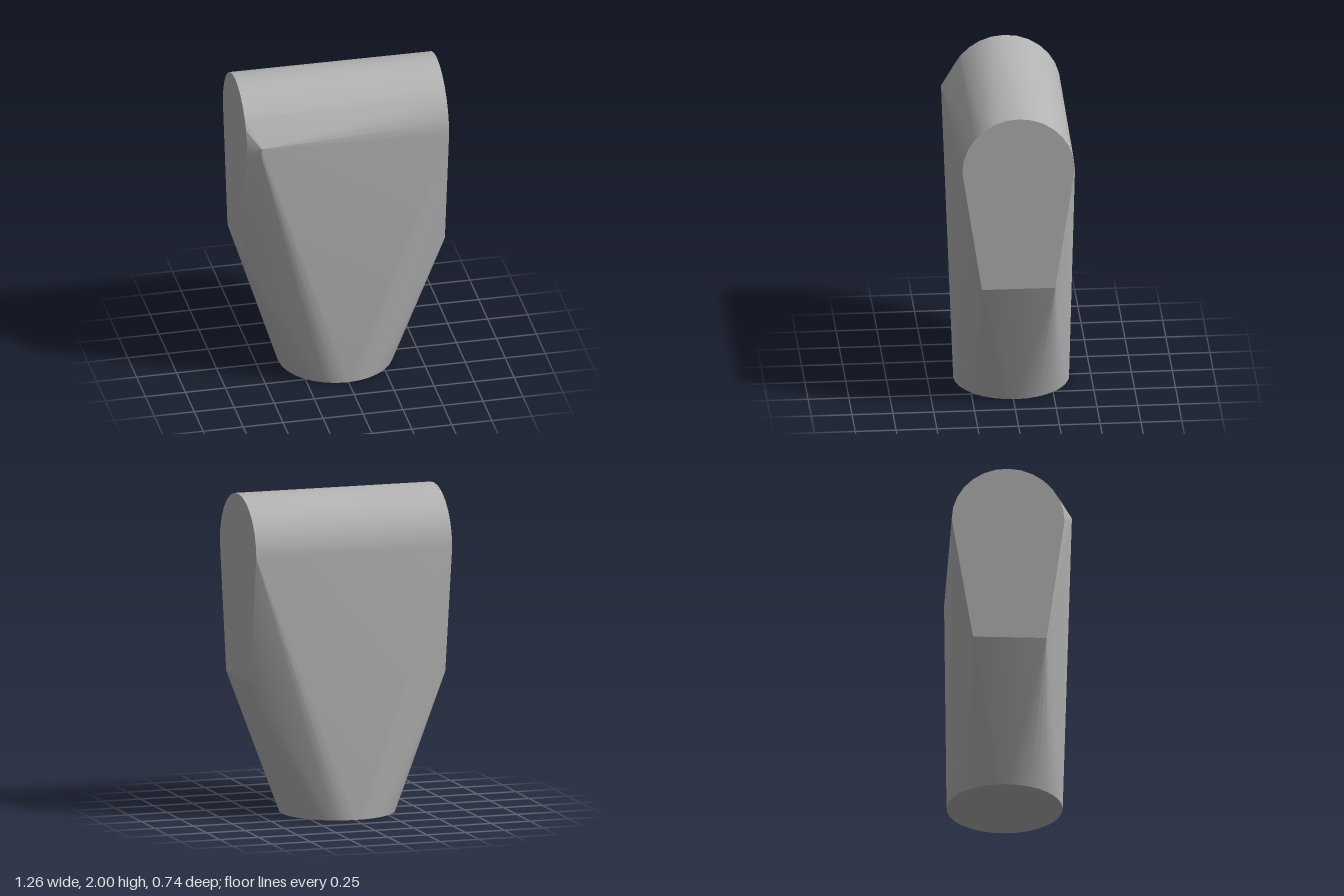
import * as THREE from 'three';
import { ConvexGeometry } from 'three/addons/geometries/ConvexGeometry.js';
import { toCreasedNormals } from 'three/addons/utils/BufferGeometryUtils.js';

// Arched end plate: half-round top tapering to a narrow flat bottom edge
function archEnd(x, zBack, zFront) {
  const points = [];
  const centre = (zBack + zFront) / 2, radius = (zFront - zBack) / 2;
  const steps = 14;
  for (let i = 0; i <= steps; i++) {
    const a = (i / steps) * Math.PI;
    points.push(new THREE.Vector3(x, 1.655 + 0.345 * Math.sin(a), centre + radius * Math.cos(a)));
  }
  points.push(new THREE.Vector3(x, 0.865, 0.215), new THREE.Vector3(x, 0.865, -0.235));
  return points;
}

// Round foot outline on the ground
function footCircle(radius, segments) {
  const points = [];
  for (let i = 0; i < segments; i++) {
    const a = (i / segments) * Math.PI * 2;
    points.push(new THREE.Vector3(-0.007 + radius * Math.cos(a), 0, -0.014 + radius * Math.sin(a)));
  }
  return points;
}

export function createModel() {
  const group = new THREE.Group();
  group.name = 'taperedBlock';

  const grey = new THREE.MeshStandardMaterial({ color: 0xb4b4b4 });
  grey.name = 'grey';

  // Solid skin stretched between the two arched ends and the round foot
  const points = [
    ...archEnd(0.63, -0.355, 0.335),
    ...archEnd(-0.63, -0.365, 0.325),
    ...footCircle(0.355, 32),
    // slightly swollen front corner on the right
    new THREE.Vector3(-0.55, 1.71, 0.373),
    new THREE.Vector3(-0.55, 1.65, 0.371),
  ];
  const body = new THREE.Mesh(toCreasedNormals(new ConvexGeometry(points), 0.3), grey);
  body.name = 'body';
  group.add(body);

  return group;
}
